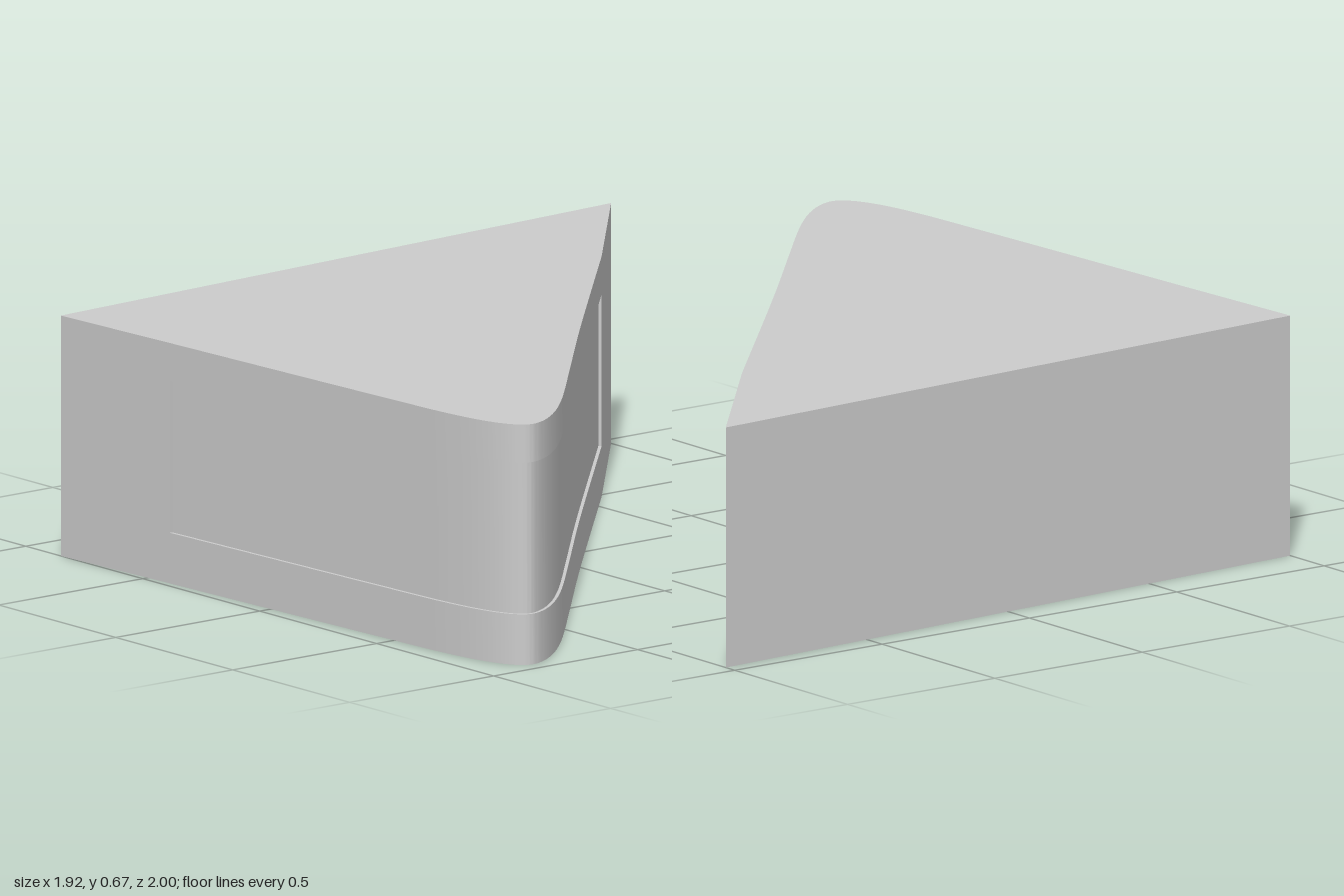
import * as THREE from 'three';
import { toCreasedNormals } from 'three/addons/utils/BufferGeometryUtils.js';

const HEIGHT = 0.665, BAND_LOW = 0.14, BAND_HIGH = 0.56, INSET = 0.009;

// Plan outline: two sharp corners joined by a curve round the nose
const backCorner = new THREE.Vector2(-0.96, -1);
const frontCorner = new THREE.Vector2(-0.85, 1);
const noseCurve = new THREE.SplineCurve([
  [-0.48, -0.577], [0.14, 0], [0.5, 0.328], [0.7, 0.51], [0.8, 0.605],
  [0.88, 0.69], [0.935, 0.765], [0.958, 0.825], [0.94, 0.864], [0.89, 0.893],
  [0.81, 0.914], [0.7, 0.928], [0.588, 0.935], [0.2, 0.953], [-0.41, 0.979],
].map(([x, z]) => new THREE.Vector2(x, z)));

const at = (p, y) => [p.x, y, p.y];

function quad(out, a, b, c, d) {
  out.push(...a, ...b, ...c, ...a, ...c, ...d);
}

function wall(out, points, y0, y1) {
  for (let i = 0; i < points.length - 1; i++) {
    const p = points[i], q = points[i + 1];
    quad(out, at(p, y0), at(p, y1), at(q, y1), at(q, y0));
  }
}

function makeMesh(name, positions) {
  const geometry = new THREE.BufferGeometry();
  geometry.setAttribute('position', new THREE.Float32BufferAttribute(positions, 3));
  const material = new THREE.MeshStandardMaterial({ color: 0xcccccc });
  const mesh = new THREE.Mesh(toCreasedNormals(geometry, 0.5), material);
  mesh.name = name;
  return mesh;
}

export function createModel() {
  const outer = noseCurve.getPoints(112);
  const inner = outer.map((p, i) => {
    const t = noseCurve.getTangent(i / 112);
    return new THREE.Vector2(p.x - t.y * INSET, p.y + t.x * INSET);
  });
  const ring = [backCorner, ...outer, frontCorner, backCorner];

  // Wedge body: lower and upper rims, plain walls beside the band, flat caps
  const body = [];
  wall(body, ring, 0, BAND_LOW);
  wall(body, ring, BAND_HIGH, HEIGHT);
  wall(body, [outer.at(-1), frontCorner, backCorner, outer[0]], BAND_LOW, BAND_HIGH);
  const centre = new THREE.Vector2(-0.4, 0.2);
  for (let i = 0; i < ring.length - 1; i++) {
    const p = ring[i], q = ring[i + 1];
    body.push(...at(centre, 0), ...at(p, 0), ...at(q, 0));
    body.push(...at(centre, HEIGHT), ...at(q, HEIGHT), ...at(p, HEIGHT));
  }

  // Shallow recess wrapped round the nose, with its end steps and ledges
  const band = [];
  wall(band, [outer[0], ...inner, outer.at(-1)], BAND_LOW, BAND_HIGH);
  for (let i = 0; i < outer.length - 1; i++) {
    const [op, oq, ip, iq] = [outer[i], outer[i + 1], inner[i], inner[i + 1]];
    quad(band, at(ip, BAND_LOW), at(iq, BAND_LOW), at(oq, BAND_LOW), at(op, BAND_LOW));
    quad(band, at(op, BAND_HIGH), at(oq, BAND_HIGH), at(iq, BAND_HIGH), at(ip, BAND_HIGH));
  }

  const group = new THREE.Group();
  group.name = 'roundedWedge';
  group.add(makeMesh('wedgeBody', body), makeMesh('recessedBand', band));
  return group;
}
